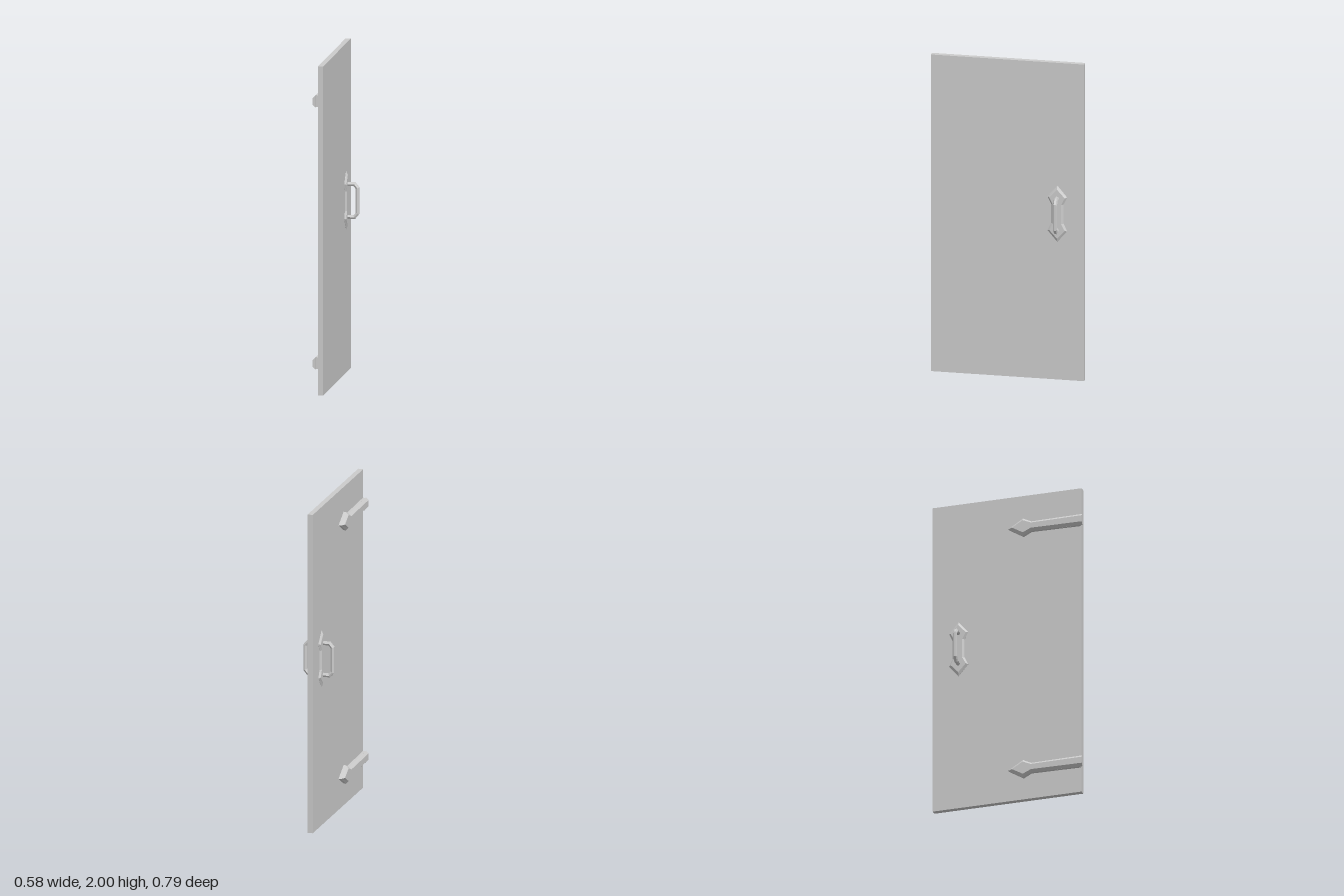
import * as THREE from 'three';

const material = new THREE.MeshStandardMaterial({ color: 0xcccccc, flatShading: true });

// Skin a list of equal-length rings of [x, y, z]; optionally cap the last ring.
function loft(name, rings, cap) {
  const n = rings[0].length;
  const index = [];
  for (let r = 0; r < rings.length - 1; r++) {
    for (let i = 0; i < n; i++) {
      const a = r * n + i, b = r * n + (i + 1) % n;
      index.push(a, b, b + n, a, b + n, a + n);
    }
  }
  if (cap) {
    const start = (rings.length - 1) * n;
    const outline = rings[rings.length - 1].map(([x, y]) => new THREE.Vector2(x, y));
    for (const f of THREE.ShapeUtils.triangulateShape(outline, [])) index.push(...f.map(i => i + start));
  }
  const indexed = new THREE.BufferGeometry();
  indexed.setAttribute('position', new THREE.Float32BufferAttribute(rings.flat(2), 3));
  indexed.setIndex(index);
  const geometry = indexed.toNonIndexed();
  geometry.computeVertexNormals();
  const mesh = new THREE.Mesh(geometry, material);
  mesh.name = name;
  return mesh;
}

// Strap hinge with a spear tip; the strap overhangs the door edge.
function makeHinge() {
  const ring = (z, tip, wide, notch, end) => {
    const low = [wide, notch, end];
    return [[tip, 0, z], ...low.map(([x, h]) => [x, -h, z]), ...low.reverse().map(([x, h]) => [x, h, z])];
  };
  return loft('strapHinge', [
    ring(0.012, 0.011, [0.104, 0.058], [0.155, 0.032], [0.463, 0.036]),
    ring(0.031, 0.011, [0.104, 0.058], [0.155, 0.032], [0.463, 0.036]),
    ring(0.031, 0.011, [0.104, 0.058], [0.155, 0.032], [0.477, 0.036]),
    ring(0.047, 0.039, [0.107, 0.040], [0.158, 0.017], [0.477, 0.020]),
  ], true);
}

// Bevelled back plate, pointed at both ends with a narrow waist.
function makePlate() {
  const ring = (z, tip, [wx, wy], [nx, ny]) => [
    [0, -tip], [wx, -wy], [nx, -ny], [nx, ny], [wx, wy],
    [0, tip], [-wx, wy], [-nx, ny], [-nx, -ny], [-wx, -wy],
  ].map(([x, y]) => [x, y, z]);
  return loft('handlePlate', [
    ring(0.012, 0.178, [0.06, 0.107], [0.038, 0.06]),
    ring(0.017, 0.178, [0.06, 0.107], [0.038, 0.06]),
    ring(0.027, 0.155, [0.047, 0.103], [0.025, 0.06]),
  ], true);
}

// Six-sided pull bar swept with mitred corners.
function makePull() {
  const radius = 0.0125;
  const path = [[-0.1, 0.015], [-0.1, 0.067], [-0.077, 0.086], [0.077, 0.086], [0.1, 0.067], [0.1, 0.015]]
    .map(([y, z]) => new THREE.Vector2(y, z));
  const normals = path.slice(1).map((p, i) => {
    const t = p.clone().sub(path[i]).normalize();
    return new THREE.Vector2(t.y, -t.x);
  });
  const rings = path.map((p, i) => {
    const a = normals[Math.max(i - 1, 0)], b = normals[Math.min(i, normals.length - 1)];
    const m = a.clone().add(b).divideScalar(1 + a.dot(b));
    return Array.from({ length: 6 }, (_, k) => {
      const c = radius * Math.cos(k * Math.PI / 3), s = radius * Math.sin(k * Math.PI / 3);
      return [c, p.x + m.x * s, p.y + m.y * s];
    });
  });
  return loft('pullBar', rings, false);
}

export function createModel() {
  const model = new THREE.Group();
  model.name = 'door';

  // Door swung open about the vertical axis
  const leaf = new THREE.Group();
  leaf.name = 'doorLeaf';
  leaf.position.set(0.015, 0, -0.001);
  leaf.rotation.y = 0.971;
  model.add(leaf);

  const panel = new THREE.Mesh(new THREE.BoxGeometry(0.934, 2, 0.032), material);
  panel.name = 'panel';
  panel.position.y = 1;
  leaf.add(panel);

  // Matching handles on both faces
  for (const [name, turn] of [['frontHandle', 0], ['backHandle', Math.PI]]) {
    const handle = new THREE.Group();
    handle.name = name;
    handle.position.set(0.304, 1.047, 0);
    handle.rotation.y = turn;
    handle.add(makePlate(), makePull());
    leaf.add(handle);
  }

  // Two hinges on the back face
  for (const y of [0.195, 1.787]) {
    const hinge = makeHinge();
    hinge.position.y = y;
    hinge.rotation.y = Math.PI;
    leaf.add(hinge);
  }
  return model;
}
